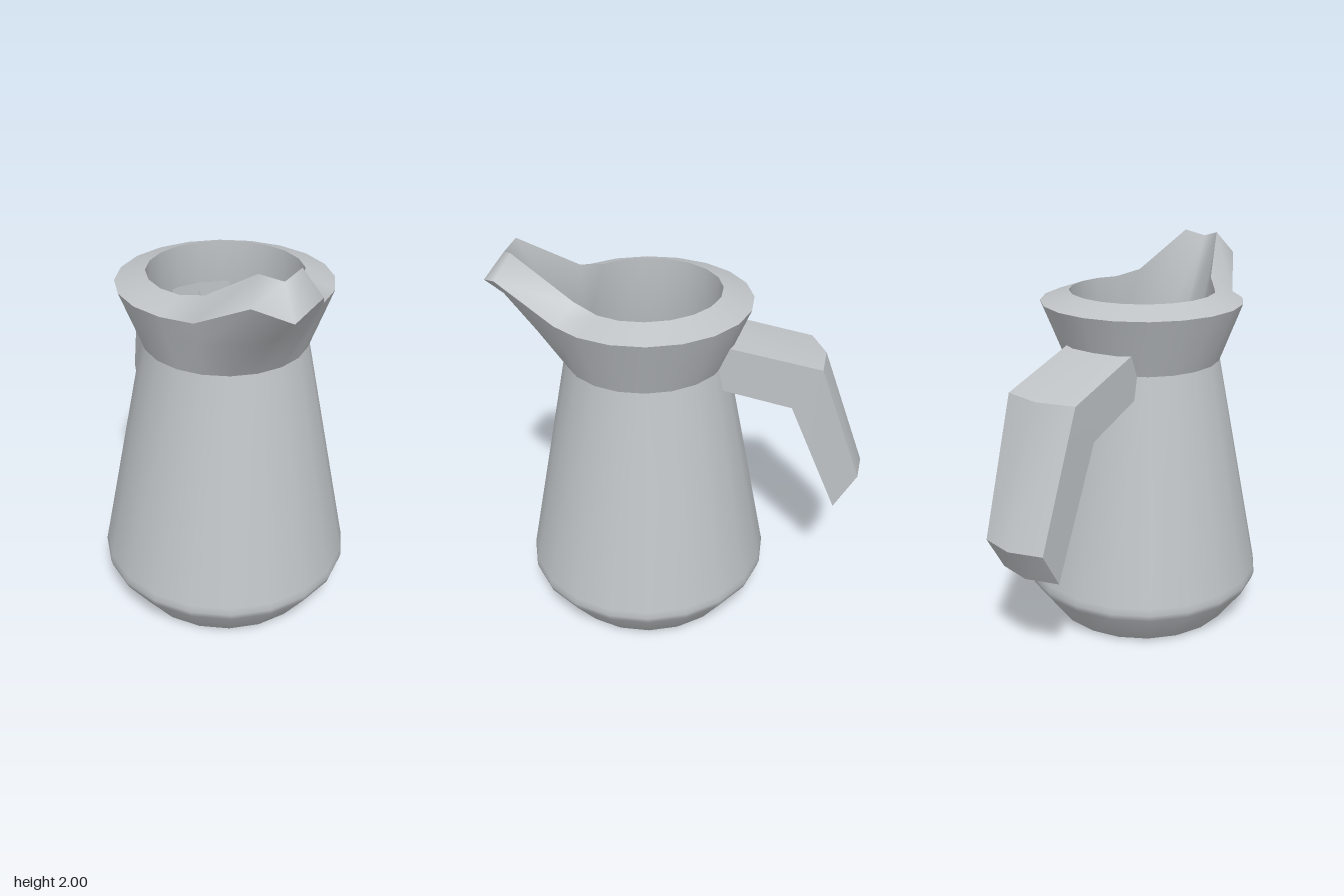
import * as THREE from 'three';
import { toCreasedNormals } from 'three/addons/utils/BufferGeometryUtils.js';

const SIDES = 20;

// Ring of points around the jug; spout lists replacement points [x, y, z]
// for the front vertex, its neighbours, and the next pair (mirrored in x).
function ring(y, r, z, spout = []) {
  const pts = [];
  for (let k = 0; k < SIDES; k++) {
    const step = Math.min(k, SIDES - k);
    const a = (k / SIDES) * Math.PI * 2;
    const s = spout[step];
    if (s) pts.push([k <= SIDES / 2 ? s[0] : -s[0], s[1], s[2]]);
    else pts.push([r * Math.sin(a), y, z + r * Math.cos(a)]);
  }
  return pts;
}

// Skin consecutive closed rings; extra holds additional triangles
function loft(rings, extra = []) {
  const n = rings[0].length;
  const index = [...extra];
  for (let i = 0; i < rings.length - 1; i++) {
    for (let j = 0; j < n; j++) {
      const a = i * n + j, b = i * n + ((j + 1) % n);
      index.push(a, b, b + n, a, b + n, a + n);
    }
  }
  const geo = new THREE.BufferGeometry();
  geo.setAttribute('position', new THREE.Float32BufferAttribute(rings.flat(2), 3));
  geo.setIndex(index);
  geo.computeVertexNormals();
  return geo;
}

export function createModel() {
  const group = new THREE.Group();
  group.name = 'jug';
  const grey = new THREE.MeshStandardMaterial({ color: 0xbfc3c6 });
  grey.name = 'grey';
  const add = (name, geo) => {
    const mesh = new THREE.Mesh(geo, grey);
    mesh.name = name;
    group.add(mesh);
  };

  // Key rings shared by neighbouring parts
  const neck = ring(1.43, 0.405, 0.19);
  const collarMid = ring(1.6, 0.47, 0.185, [[0, 1.67, 0.75], [0.155, 1.64, 0.7]]);
  const rimOuter = ring(1.73, 0.52, 0.18, [[0, 1.83, 0.95], [0.16, 1.89, 0.875]]);
  const rimInner = ring(1.78, 0.375, 0.185,
    [[0, 1.97, 0.84], [0.097, 2, 0.795], [0.22, 1.81, 0.51], [0.3, 1.78, 0.4]]);

  // Base underside
  add('underside', loft([ring(0, 0.001, 0.2), ring(0, 0.46, 0.2)]));

  // Tapered body with softly bevelled foot
  add('body', loft([
    ring(0, 0.46, 0.2), ring(0.015, 0.495, 0.2), ring(0.2, 0.628, 0.2),
    ring(0.235, 0.638, 0.2), ring(0.27, 0.631, 0.2), neck,
  ]));

  // Flared collar pulled forward into the spout
  add('collar', loft([neck, collarMid, rimOuter]));

  // Sloping rim
  add('rim', loft([rimOuter, rimInner]));

  // Hollow inside with floor
  add('interior', loft([
    rimInner, ring(1.43, 0.378, 0.195), ring(0.25, 0.6, 0.2),
    ring(0.06, 0.47, 0.2), ring(0.06, 0.001, 0.2),
  ]));

  // Bent handle with a chevron section: [half width, outer z, outer y, inner z, inner y]
  const ridge = 0.045;
  const stations = [
    [0.19, -0.14, 1.565, -0.14, 1.33],
    [0.19, -0.67, 1.42, -0.53, 1.21],
    [0.165, -0.905, 0.77, -0.79, 0.58],
  ].map(([w, oz, oy, iz, iy]) => [
    [-w, oy, oz], [0, oy, oz - ridge], [w, oy, oz],
    [w, iy, iz], [0, iy, iz - ridge], [-w, iy, iz],
  ]);
  const startCap = [0, 4, 1, 0, 5, 4, 1, 3, 2, 1, 4, 3];
  const endCap = [0, 1, 4, 0, 4, 5, 1, 2, 3, 1, 3, 4].map((i) => i + 12);
  add('handle', toCreasedNormals(loft(stations, [...startCap, ...endCap]), 0.6));

  return group;
}
